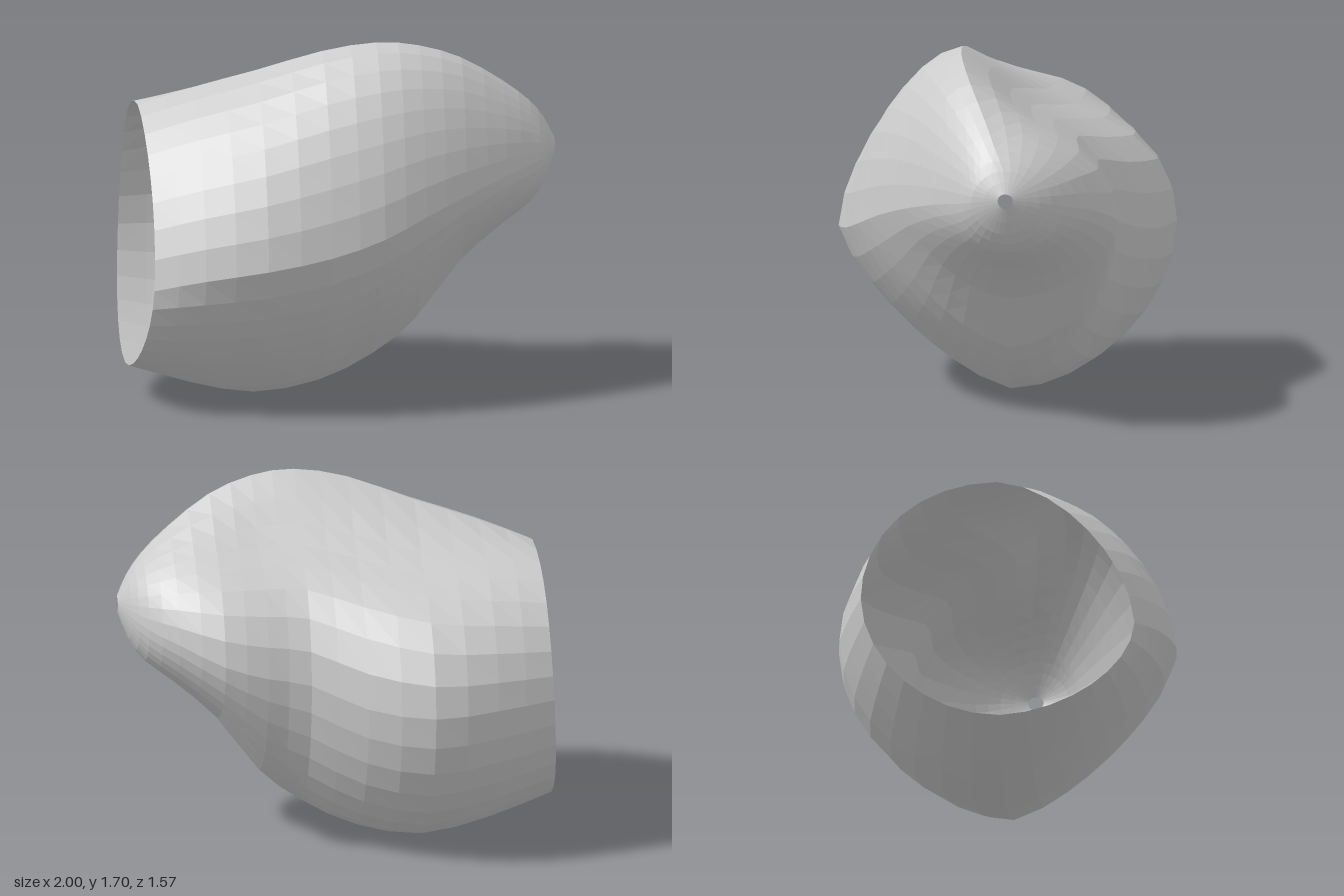
import * as THREE from 'three';

// Cross-sections along x:
// x, topY, topZ, frontZ, frontY, bottomY, bottomZ, backZ, backY,
// roundness of the upper back, depth of the hollow beside the ridge, roundness of the lower front
const SECTIONS = [
  [-0.97, 1.38, 0.00, 0.64, 0.64, 0.16, 0.02, -0.63, 0.80, 2.1, 0.0, 1.8],
  [-0.70, 1.47, 0.05, 0.73, 0.70, 0.06, 0.00, -0.73, 0.79, 2.05, 0.25, 1.5],
  [-0.40, 1.56, 0.11, 0.78, 0.75, 0.00, -0.02, -0.79, 0.78, 1.95, 0.45, 1.35],
  [-0.10, 1.66, 0.18, 0.74, 0.80, 0.05, -0.02, -0.67, 0.80, 1.85, 0.5, 1.35],
  [0.15, 1.70, 0.20, 0.68, 0.87, 0.17, -0.02, -0.53, 0.88, 1.8, 0.5, 1.35],
  [0.35, 1.68, 0.19, 0.58, 0.95, 0.33, -0.02, -0.53, 0.92, 1.75, 0.5, 1.4],
  [0.55, 1.61, 0.15, 0.46, 1.02, 0.60, -0.02, -0.52, 0.98, 1.75, 0.4, 1.5],
  [0.75, 1.48, 0.08, 0.32, 1.08, 0.78, -0.02, -0.41, 1.06, 1.85, 0.2, 1.7],
  [0.88, 1.37, 0.03, 0.21, 1.11, 0.88, -0.02, -0.29, 1.10, 1.95, 0.05, 1.9],
  [0.95, 1.28, -0.01, 0.14, 1.13, 0.98, -0.02, -0.18, 1.13, 2, 0, 2],
  [1.00, 1.18, -0.02, 0.015, 1.15, 1.11, -0.02, -0.055, 1.15, 2, 0, 2],
];
const SIDES = 32;
const STEPS = 2; // rings per section interval

function shellGeometry() {
  const { lerp } = THREE.MathUtils;
  const last = SECTIONS.length - 1;
  const spline = new THREE.CubicInterpolant(SECTIONS.map((_, i) => i), SECTIONS.flat(), SECTIONS[0].length);
  const rings = last * STEPS;
  const positions = [];
  const indices = [];

  for (let i = 0; i <= rings; i++) {
    const u = i / STEPS;
    const [x, topY, topZ, frontZ, frontY, bottomY, bottomZ, backZ, backY, upperBack, hollow, lowerFront] =
      spline.evaluate(u);
    const tip = (u / last) ** 4;
    const rim = Math.max(0, 1 - u / 2) ** 2;

    for (let j = 0; j < SIDES; j++) {
      // Angle runs from the front (+z) over the top; each quarter is a superellipse arc
      const a = (j / SIDES) * Math.PI * 2;
      const c = Math.cos(a);
      const s = Math.sin(a);
      const upper = s >= 0;
      const front = c >= 0;
      const n = front
        ? (upper ? lerp(1.65, 2, tip) : lowerFront)
        : (upper ? upperBack : lerp(1.85, 2, tip));
      // Shallow hollow running behind the top ridge
      const dent = upper && !front ? hollow * -c * s ** 3 : 0;
      const r = (Math.abs(c) ** n + Math.abs(s) ** n) ** (-1 / n) * (1 - dent);
      const z = lerp(upper ? topZ : bottomZ, front ? frontZ : backZ, r * Math.abs(c));
      const y = lerp(front ? frontY : backY, upper ? topY : bottomY, r * Math.abs(s));
      // The open rim is slightly slanted and bowed
      const slant = rim * (0.03 * s + 0.025 * c + 0.025 * c * c);
      positions.push(x + slant, y, z);

      if (i < rings) {
        const k = (j + 1) % SIDES;
        const p = i * SIDES;
        const q = p + SIDES;
        indices.push(p + j, q + j, p + k, q + j, q + k, p + k);
      }
    }
  }

  const geometry = new THREE.BufferGeometry();
  geometry.setAttribute('position', new THREE.Float32BufferAttribute(positions, 3));
  geometry.setIndex(indices);
  geometry.computeVertexNormals();
  return geometry;
}

export function createModel() {
  const group = new THREE.Group();
  group.name = 'hollowShell';

  // Hollow shell, wide open at one end with a small hole in the tip
  const material = new THREE.MeshStandardMaterial({
    color: 0xcccccc,
    flatShading: true,
    side: THREE.DoubleSide,
  });
  const shell = new THREE.Mesh(shellGeometry(), material);
  shell.name = 'shell';
  group.add(shell);
  return group;
}
